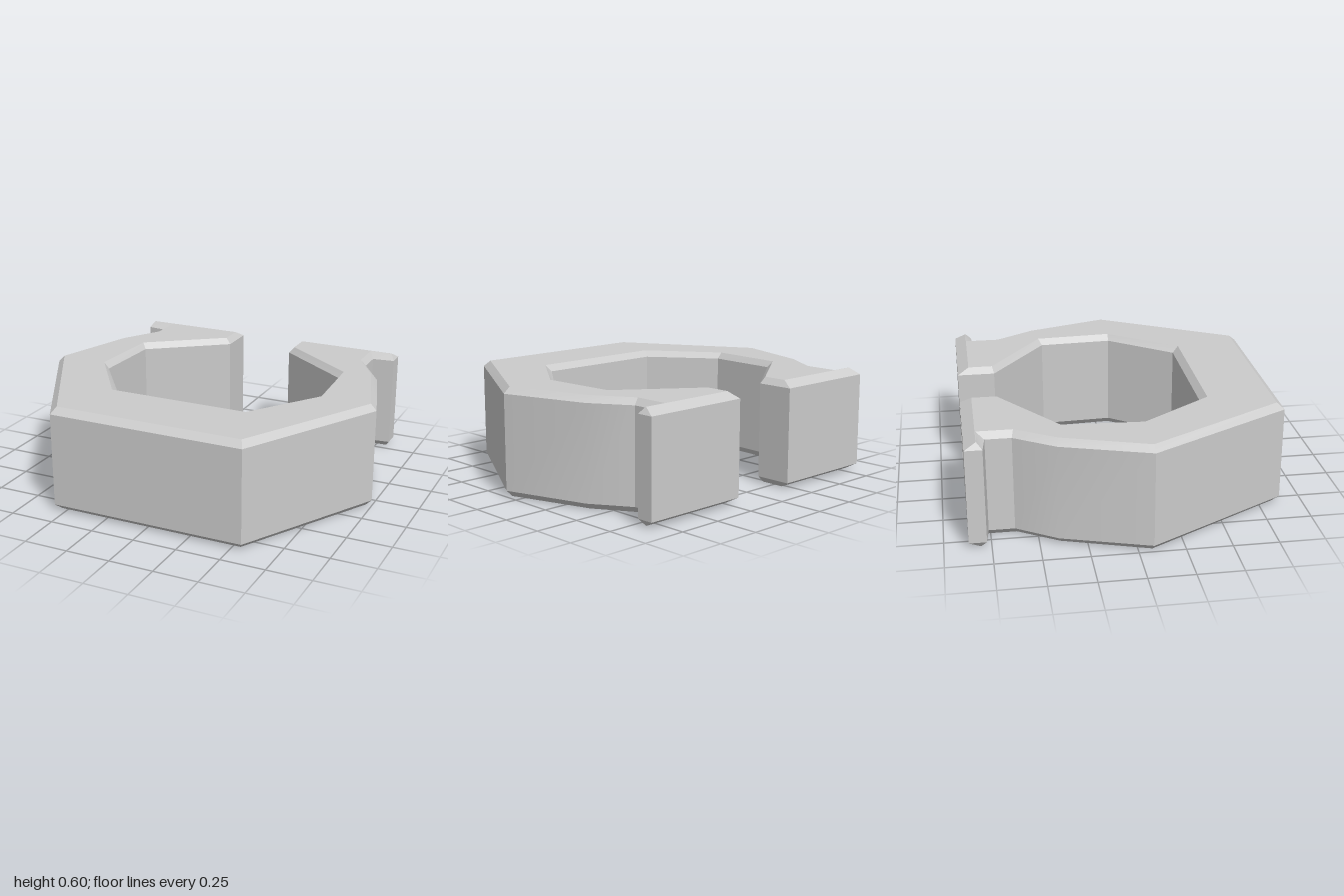
import * as THREE from 'three';
import { toCreasedNormals } from 'three/addons/utils/BufferGeometryUtils.js';

// Half outline: [wall x, wall z, bevelled cap x, cap z], outside first, then around the jaw to the hole
const HALF = [
  [0.56, 0.87, 0.54, 0.83],
  [1.00, 0.08, 0.965, 0.075],
  [0.85, -0.40, 0.815, -0.39],
  [0.71, -0.62, 0.68, -0.61],
  [0.71, -0.76, 0.68, -0.804],   // root of the tab
  [0.835, -0.775, 0.81, -0.805],
  [0.835, -0.87, 0.81, -0.807],
  [0.20, -0.87, 0.23, -0.807],   // mouth
  [0.20, -0.66, 0.23, -0.67],
  [0.635, -0.34, 0.66, -0.36],   // hole
  [0.655, 0.08, 0.685, 0.08],
  [0.385, 0.44, 0.405, 0.475],
];
const HEIGHT = 0.6, BEVEL = 0.035;

function clampGeometry() {
  const mirrored = HALF.map(([x, z, cx, cz]) => [-x, z, -cx, cz]).reverse();
  const loop = [...HALF, ...mirrored];
  const n = loop.length;
  const wall = (y) => loop.map(([x, z]) => new THREE.Vector3(x, y, z));
  const cap = (y) => loop.map(([, , x, z]) => new THREE.Vector3(x, y, z));
  const rings = [cap(0), wall(BEVEL), wall(HEIGHT - BEVEL), cap(HEIGHT)];
  const points = [];

  // Bevels and walls
  for (let r = 0; r < 3; r++) {
    for (let i = 0; i < n; i++) {
      const j = (i + 1) % n;
      const a = rings[r][i], b = rings[r][j], c = rings[r + 1][j], d = rings[r + 1][i];
      points.push(a, b, c, a, c, d);
    }
  }
  // Flat top and bottom
  const flat = loop.map(([, , x, z]) => new THREE.Vector2(x, -z));
  for (const [a, b, c] of THREE.ShapeUtils.triangulateShape(flat, [])) {
    points.push(rings[3][a], rings[3][b], rings[3][c]);
    points.push(rings[0][a], rings[0][c], rings[0][b]);
  }
  const geometry = new THREE.BufferGeometry().setFromPoints(points);
  return toCreasedNormals(geometry, THREE.MathUtils.degToRad(22));
}

export function createModel() {
  const group = new THREE.Group();
  group.name = 'openClamp';
  const material = new THREE.MeshStandardMaterial({ color: 0xcccccc });
  const ring = new THREE.Mesh(clampGeometry(), material);
  ring.name = 'clampRing';
  group.add(ring);
  return group;
}
